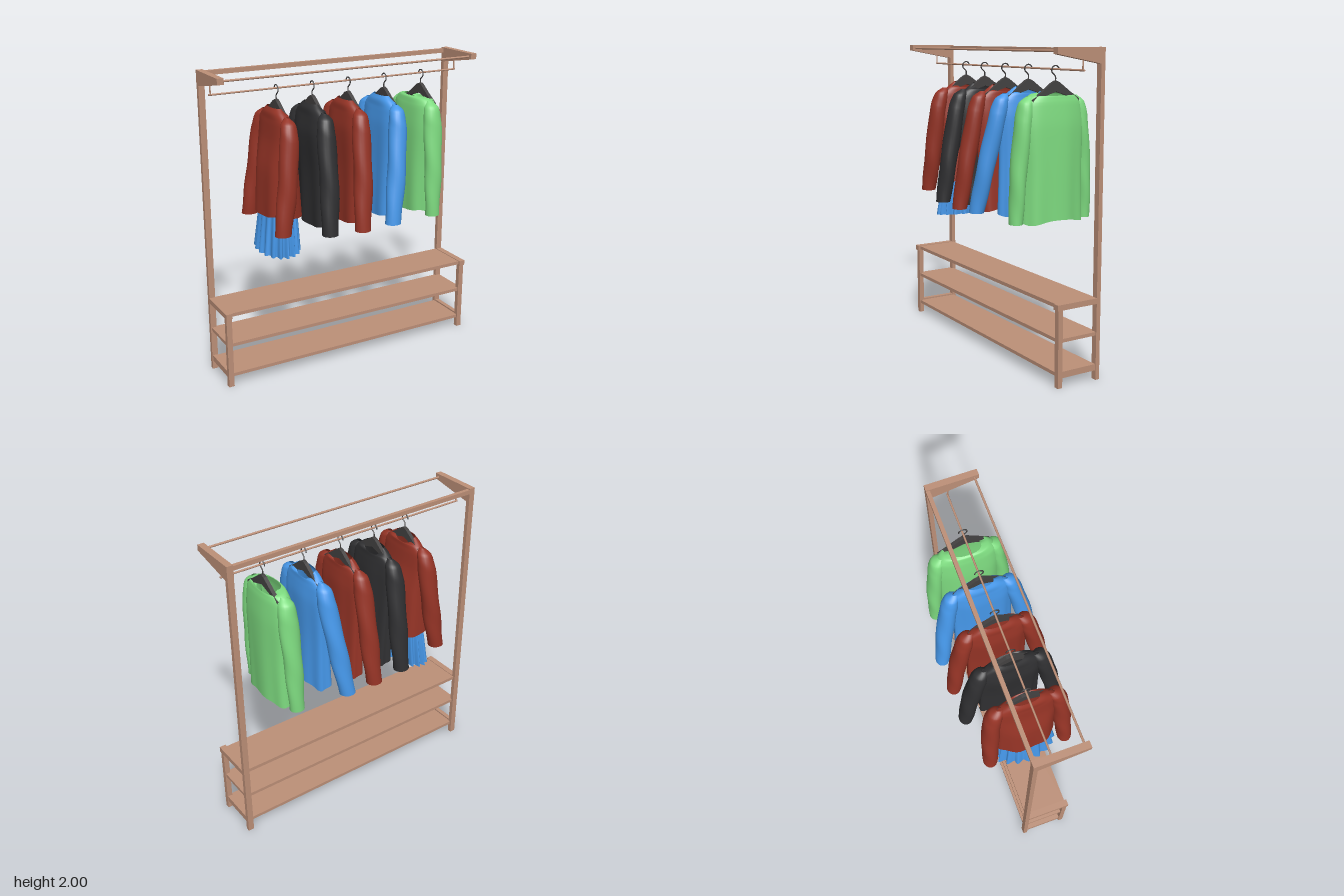
import * as THREE from 'three';

const WOOD = 0xbd9078, RED = 0x963426, BLACK = 0x303032, BLUE = 0x4698ea, GREEN = 0x7edb80, DARK = 0x444242;

const mat = (color, side = THREE.FrontSide) => new THREE.MeshStandardMaterial({ color, side });

function add(parent, name, geometry, material, x = 0, y = 0, z = 0) {
  const mesh = new THREE.Mesh(geometry, material);
  mesh.name = name;
  mesh.position.set(x, y, z);
  parent.add(mesh);
  return mesh;
}

// Box given by its extents in y and z, centred at x
function slab(parent, name, x, w, y0, y1, z0, z1, material) {
  return add(parent, name, new THREE.BoxGeometry(w, y1 - y0, z1 - z0), material, x, (y0 + y1) / 2, (z0 + z1) / 2);
}

// Extrudes a (z, y) outline along x, centred on x = 0
function sidePlate(points, width, curveSegments = 8) {
  const shape = new THREE.Shape(points.map(p => new THREE.Vector2(...p)));
  const g = new THREE.ExtrudeGeometry(shape, { depth: width, bevelEnabled: false, curveSegments });
  return g.translate(0, 0, -width / 2).rotateY(-Math.PI / 2);
}

// Cloth tube through level sections [x, y, z, radiusX, radiusZ] listed from top to bottom
function loft(keys, { n = 32, rows = 28, power = 1, warp } = {}) {
  const centre = new THREE.CatmullRomCurve3(keys.map(k => new THREE.Vector3(k[0], k[1], k[2])));
  const radius = new THREE.CatmullRomCurve3(keys.map(k => new THREE.Vector3(k[3], k[4], 0)));
  const pos = [], index = [];
  const bend = v => Math.sign(v) * Math.abs(v) ** power;
  for (let j = 0; j <= rows; j++) {
    const t = j / rows, c = centre.getPoint(t), r = radius.getPoint(t);
    for (let i = 0; i < n; i++) {
      const a = i / n * Math.PI * 2;
      const p = new THREE.Vector3(r.x * bend(Math.cos(a)), 0, r.y * bend(Math.sin(a)));
      if (warp) warp(p, a, t);
      pos.push(c.x + p.x, c.y + p.y, c.z + p.z);
      if (j < rows) {
        const k = j * n + i, m = j * n + (i + 1) % n;
        index.push(k, m, k + n, m, m + n, k + n);
      }
    }
  }
  const g = new THREE.BufferGeometry();
  g.setAttribute('position', new THREE.Float32BufferAttribute(pos, 3));
  g.setIndex(index);
  g.computeVertexNormals();
  return g;
}

// Torso open at neck and hem, plus two sleeves
function garment(parent, name, o) {
  const group = new THREE.Group();
  group.name = name;
  const cloth = mat(o.color, THREE.DoubleSide);
  const torsoWarp = (p, a, t) => {
    const front = Math.max(0, Math.cos(a)), low = t * t;
    p.y -= o.neckDrop * front * Math.max(0, 1 - t * 4);      // scooped neckline
    p.y += 0.012 * Math.cos(3 * a) * low;                    // wavy hem
    const fold = 1 + o.fold * low * Math.cos(7 * a + 1);     // soft folds
    p.x *= fold;
    p.z *= 1 + (fold - 1) * 0.4;
  };
  add(group, 'torso', loft(o.torso, { n: 48, power: 0.85, warp: torsoWarp }), cloth);
  for (const s of [1, -1]) {
    const keys = o.sleeve.map(k => [k[0] + (s < 0 ? o.skew * (1.75 - k[1]) : 0), k[1], s * k[2], k[3], k[4]]);
    const wrinkle = (p, a, t) => p.multiplyScalar(1 + 0.05 * Math.sin(t * 24 + 2 * a) * t);
    add(group, s > 0 ? 'leftSleeve' : 'rightSleeve', loft(keys, { n: 20, warp: wrinkle }), cloth);
  }
  parent.add(group);
}

// Sections of a jacket hanging at x, with torso and sleeve drifting to the hem centres given
function jacket(x, hemX, hemY, hemDepth, cuffX, cuffY, cuffZ) {
  const mx = (x + hemX) / 2, my = (1.66 + hemY) / 2, sx = (x + cuffX) / 2;
  return {
    torso: [
      [x, 1.755, 0, 0.035, 0.085], [x, 1.725, 0, 0.05, 0.13], [x, 1.67, 0, 0.055, 0.19],
      [x, 1.56, 0, 0.065, 0.2], [mx, my, 0, hemDepth * 0.85, 0.195], [hemX, hemY, 0, hemDepth, 0.2]],
    sleeve: [
      [x, 1.715, 0.16, 0.012, 0.02], [x - 0.003, 1.68, 0.185, 0.045, 0.045], [x - 0.01, 1.58, 0.21, 0.06, 0.055],
      [sx, 1.28, (0.2 + cuffZ) / 2 + 0.01, 0.062, 0.056], [cuffX, cuffY, cuffZ, 0.055, 0.045]],
  };
}

function hanger(parent, x) {
  const group = new THREE.Group();
  group.name = 'hanger';
  const body = [[0, 1.80], [0.025, 1.79], [0.1, 1.735], [0.17, 1.69], [0.165, 1.665], [0.08, 1.71], [0, 1.735]];
  const mirrored = body.slice(1, -1).reverse().map(([z, y]) => [-z, y]);
  add(group, 'hangerBody', sidePlate([...body, ...mirrored], 0.024), mat(DARK));
  const hook = [new THREE.Vector3(0, 1.79, 0), new THREE.Vector3(0, 1.825, 0)];
  for (let i = 0; i <= 8; i++) {
    const a = -1.1 + i / 8 * 4.2;
    hook.push(new THREE.Vector3(0, 1.862 + 0.027 * Math.sin(a), 0.027 * Math.cos(a)));
  }
  add(group, 'hangerHook', new THREE.TubeGeometry(new THREE.CatmullRomCurve3(hook), 36, 0.004, 6), mat(DARK));
  group.position.x = x;
  parent.add(group);
}

function rack() {
  const g = new THREE.Group();
  g.name = 'rack';
  const wood = mat(WOOD);
  for (const s of [1, -1]) {
    const x = s * 0.897;
    slab(g, 'backPost', x, 0.04, 0, 1.99, -0.135, -0.107, wood);
    slab(g, 'frontLeg', x, 0.036, 0, 0.49, 0.14, 0.172, wood);
    slab(g, 'topArm', x, 0.042, 0.48, 0.515, -0.107, 0.18, wood);
    slab(g, 'middleSideRail', x, 0.024, 0.28, 0.302, -0.107, 0.14, wood);
    slab(g, 'lowerSideRail', x, 0.03, 0.06, 0.1, -0.107, 0.14, wood);
    add(g, 'bracket', sidePlate([[0.2, 2], [-0.135, 2], [-0.135, 1.9], [0.2, 1.962]], 0.042), wood, x);
    add(g, 'rodHook', new THREE.CylinderGeometry(0.005, 0.005, 0.08, 8), wood, s * 0.885, 1.905, 0);
  }
  // Shelves
  slab(g, 'topShelf', 0, 1.77, 0.488, 0.511, -0.12, 0.165, wood);
  slab(g, 'middleShelf', 0, 1.77, 0.28, 0.302, -0.12, 0.165, wood);
  slab(g, 'bottomShelf', 0, 1.77, 0.068, 0.09, -0.12, 0.165, wood);
  // Rails across the top
  slab(g, 'backRail', 0, 1.77, 1.965, 1.993, -0.135, -0.11, wood);
  const rod = r => new THREE.CylinderGeometry(r, r, 1.79, 12).rotateZ(Math.PI / 2);
  add(g, 'frontRail', rod(0.007), wood, 0, 1.978, 0.172);
  add(g, 'hangingRod', rod(0.006), wood, 0, 1.868, -0.003);
  return g;
}

export function createModel() {
  const model = new THREE.Group();
  model.name = 'clothesRack';
  model.add(rack());

  for (const x of [-0.455, -0.205, 0.055, 0.325, 0.615]) hanger(model, x);

  // Garments from right to left along the rod
  garment(model, 'shortRedJacket', {
    color: RED, neckDrop: 0.05, fold: 0.05, skew: 0,
    ...jacket(-0.465, -0.462, 1.08, 0.122, -0.55, 1.0, 0.255) });
  garment(model, 'blackJacket', {
    color: BLACK, neckDrop: 0.06, fold: 0.12, skew: 0.04,
    ...jacket(-0.21, -0.175, 0.955, 0.07, -0.245, 0.965, 0.305) });
  garment(model, 'redJacket', {
    color: RED, neckDrop: 0.06, fold: 0.1, skew: 0.03,
    ...jacket(0.04, 0.055, 0.945, 0.07, -0.01, 0.955, 0.31) });
  garment(model, 'blueJacket', {
    color: BLUE, neckDrop: 0.06, fold: 0.1, skew: 0.02,
    ...jacket(0.312, 0.305, 0.955, 0.075, 0.215, 0.965, 0.315) });
  garment(model, 'greenSweater', {
    color: GREEN, neckDrop: 0.045, fold: 0.06, skew: 0,
    torso: [
      [0.58, 1.728, 0, 0.055, 0.1], [0.58, 1.72, 0, 0.068, 0.15], [0.58, 1.67, 0, 0.08, 0.2],
      [0.58, 1.52, 0, 0.094, 0.215], [0.58, 1.25, 0, 0.098, 0.205], [0.58, 0.95, 0, 0.098, 0.21]],
    sleeve: [
      [0.58, 1.71, 0.16, 0.02, 0.02], [0.58, 1.67, 0.185, 0.05, 0.045], [0.58, 1.55, 0.205, 0.065, 0.05],
      [0.575, 1.25, 0.235, 0.06, 0.05], [0.57, 0.945, 0.25, 0.05, 0.04]] });

  // Pleated skirt showing beneath the short jacket
  const pleat = (p, a, t) => {
    p.multiplyScalar(1 + 0.1 * t * Math.cos(18 * a));
    p.y += 0.1 * p.x;
  };
  const skirt = [[-0.462, 1.3, 0, 0.075, 0.14], [-0.465, 1.09, 0, 0.1, 0.175], [-0.475, 0.825, 0, 0.118, 0.205]];
  add(model, 'pleatedSkirt', loft(skirt, { n: 108, rows: 12, warp: pleat }), mat(BLUE, THREE.DoubleSide));

  return model;
}
